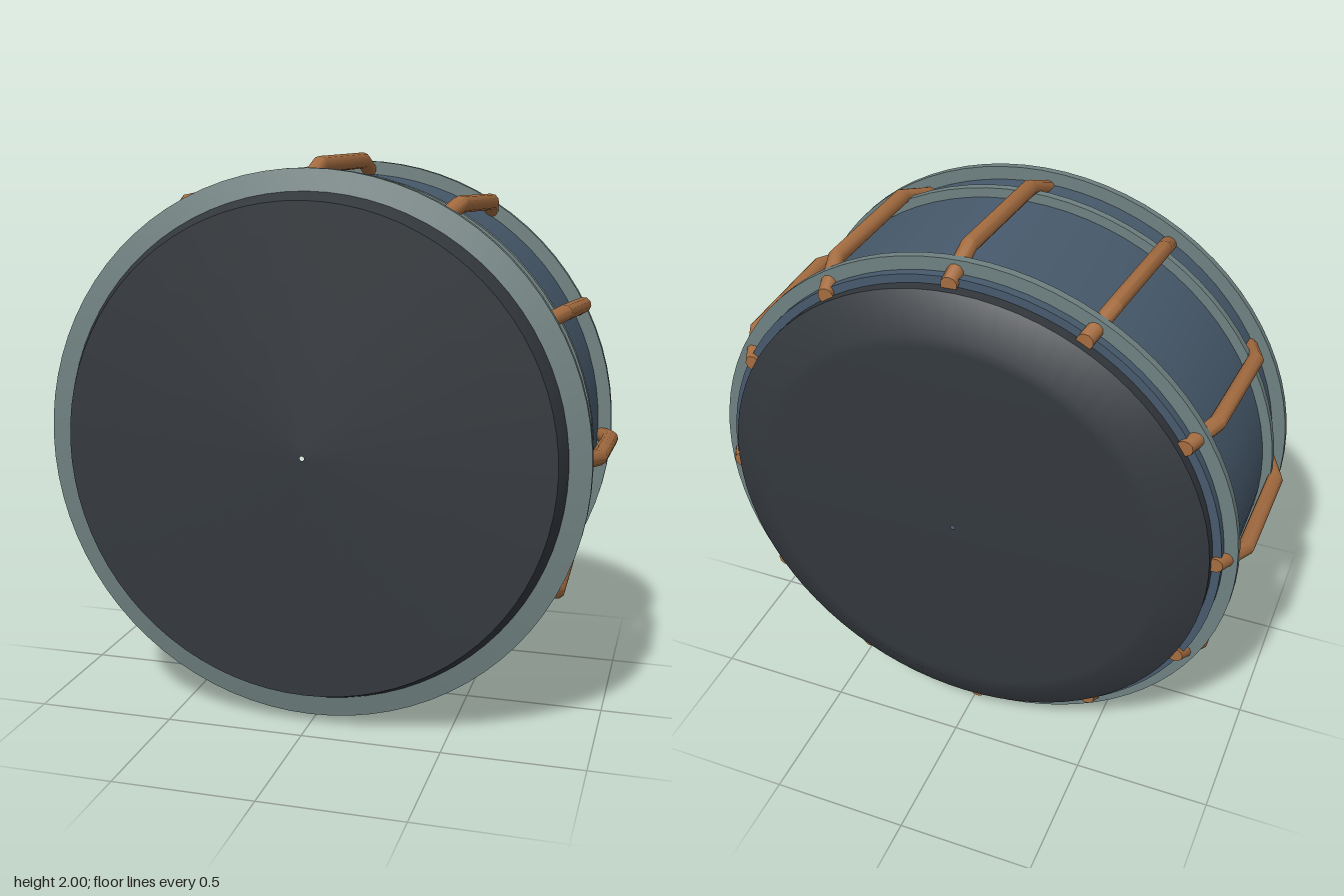
import * as THREE from 'three';
import { toCreasedNormals } from 'three/addons/utils/BufferGeometryUtils.js';

const material = (name, color) => {
  const m = new THREE.MeshStandardMaterial({ color });
  m.name = name;
  return m;
};

// Revolves [radius, z] points around the drum's z axis
function turned(name, points, mat) {
  const profile = points.map(([r, z]) => new THREE.Vector2(r, z));
  const geo = new THREE.LatheGeometry(profile, 80).rotateX(Math.PI / 2);
  const mesh = new THREE.Mesh(toCreasedNormals(geo, 0.65), mat);
  mesh.name = name;
  return mesh;
}

// Closed ring with a rectangular section, its outer edge optionally set back at the front
function ring(name, inner, outer, back, front, mat, bevel = 0) {
  return turned(name, [
    [outer, back], [outer, front - bevel], [inner, front], [inner, back], [outer, back],
  ], mat);
}

// Round bar bent along a [x, radius, z] path running back to front
function bentBar(path, radius) {
  const rows = path.length - 1;
  const geo = new THREE.CylinderGeometry(radius, radius, rows, 10, rows).rotateX(Math.PI / 2);
  const pos = geo.attributes.position;
  for (let i = 0; i < pos.count; i++) {
    const [x, r, z] = path[Math.round(pos.getZ(i) + rows / 2)];
    pos.setXYZ(i, pos.getX(i) + x, pos.getY(i) + r, z);
  }
  return toCreasedNormals(geo, 0.7);
}

export function createModel() {
  const head = material('charcoal skin', 0x33383d);
  const blue = material('slate blue shell', 0x475a6c);
  const metal = material('grey green metal', 0x6f8080);
  const copper = material('copper brown', 0xa46c40);

  const model = new THREE.Group();
  model.name = 'drum';
  const drum = new THREE.Group();
  drum.name = 'drumBody';
  drum.position.y = 1;
  model.add(drum);

  // Shell and the two skins, each with a tiny centre hole
  drum.add(ring('shell', 0.87, 0.92, -0.36, 0.37, blue));
  drum.add(turned('frontSkin', [[0.9, 0.36], [0.893, 0.4], [0.866, 0.461], [0.008, 0.472]], head));
  drum.add(turned('backSkin', [
    [0.008, -0.478], [0.72, -0.478], [0.76, -0.474], [0.89, -0.4], [0.89, -0.34],
  ], head));

  // Metal hoops
  drum.add(ring('frontHoop', 0.885, 0.968, 0.362, 0.402, metal, 0.015));
  drum.add(ring('middleHoop', 0.91, 0.955, 0.212, 0.24, metal));
  drum.add(ring('backHoop', 0.915, 0.968, -0.328, -0.3, metal));

  // Twelve slightly slanted tension bars around the shell
  const barGeometry = bentBar([
    [0.037, 0.9, -0.375], [0.026, 0.972, -0.235], [-0.009, 0.972, 0.215], [-0.02, 0.905, 0.365],
  ], 0.029);
  const bars = new THREE.Group();
  bars.name = 'tensionBars';
  for (let i = 0; i < 12; i++) {
    const bar = new THREE.Mesh(barGeometry, copper);
    bar.name = 'tensionBar';
    bar.rotation.z = (i * Math.PI) / 6;
    bars.add(bar);
  }
  drum.add(bars);
  return model;
}
